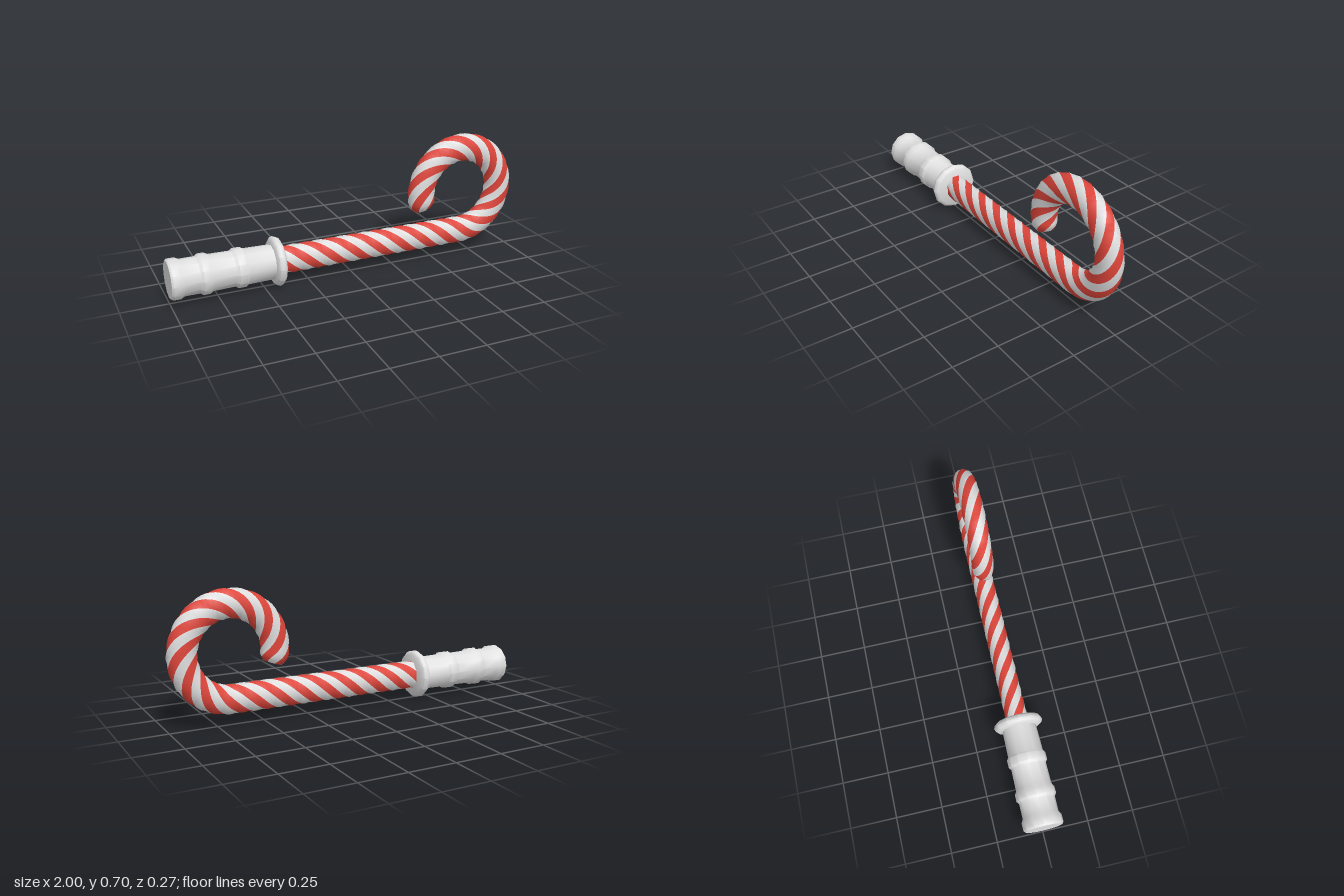
import * as THREE from 'three';
import { toCreasedNormals } from 'three/addons/utils/BufferGeometryUtils.js';

const AXIS_Y = 0.135;

// Revolve a [x, radius] profile around the long axis
function turned(name, profile, material) {
  const lathe = new THREE.LatheGeometry(profile.map(([x, r]) => new THREE.Vector2(r, x)), 12);
  lathe.rotateZ(-Math.PI / 2);
  const mesh = new THREE.Mesh(toCreasedNormals(lathe, 0.75), material);
  mesh.name = name;
  mesh.position.y = AXIS_Y;
  return mesh;
}

// Straight shaft that curls upward into a hook; returns centre and inward normal
const START = -0.42, BEND_X = 0.676, BEND_R = 0.245, BEND_ANGLE = 5.05;
const STRAIGHT = BEND_X - START;
const LENGTH = STRAIGHT + BEND_R * BEND_ANGLE;
function pathAt(s) {
  if (s < STRAIGHT) return { x: START + s, y: AXIS_Y, nx: 0, ny: 1 };
  const a = (s - STRAIGHT) / BEND_R;
  return {
    x: BEND_X + BEND_R * Math.sin(a),
    y: AXIS_Y + BEND_R * (1 - Math.cos(a)),
    nx: -Math.sin(a), ny: Math.cos(a),
  };
}

// Twisted eight-sided tube whose sides alternate between two colours
function twistedCane(red, white) {
  const SIDES = 8, RINGS = 130, PITCH = 0.55, RY = 0.078, RZ = 0.061, TIP = 0.05;
  const positions = [], redFaces = [], whiteFaces = [];
  const addRing = (s, scale) => {
    const p = pathAt(s);
    for (let j = 0; j < SIDES; j++) {
      const phi = ((s - 0.02) / PITCH) * Math.PI * 2 + ((j - 0.5) / SIDES) * Math.PI * 2;
      const n = RY * scale * Math.cos(phi);
      positions.push(p.x + p.nx * n, p.y + p.ny * n, RZ * scale * Math.sin(phi));
    }
  };
  for (let i = 0; i <= RINGS; i++) {
    const s = (i / RINGS) * LENGTH;
    const t = Math.max(0, (s - (LENGTH - TIP)) / TIP);
    addRing(s, 1 - 0.34 * t * t);
  }
  for (let i = 0; i < RINGS; i++) {
    for (let j = 0; j < SIDES; j++) {
      const k = (j + 1) % SIDES;
      const a = i * SIDES + j, b = i * SIDES + k, c = a + SIDES, d = b + SIDES;
      (j % 2 ? whiteFaces : redFaces).push(a, b, c, b, d, c);
    }
  }
  // Flat tip with its own vertices for a sharp edge
  const first = positions.length / 3;
  addRing(LENGTH, 0.66);
  for (let j = 1; j < SIDES - 1; j++) whiteFaces.push(first, first + j, first + j + 1);

  const geometry = new THREE.BufferGeometry();
  geometry.setAttribute('position', new THREE.Float32BufferAttribute(positions, 3));
  geometry.setIndex([...redFaces, ...whiteFaces]);
  geometry.addGroup(0, redFaces.length, 0);
  geometry.addGroup(redFaces.length, whiteFaces.length, 1);
  geometry.computeVertexNormals();
  const mesh = new THREE.Mesh(geometry, [red, white]);
  mesh.name = 'stripedCane';
  return mesh;
}

export function createModel() {
  const white = new THREE.MeshStandardMaterial({ color: 0xe0e0e0 });
  white.name = 'white';
  const red = new THREE.MeshStandardMaterial({ color: 0xe0463b });
  red.name = 'red';

  const group = new THREE.Group();
  group.name = 'hookedCane';

  // Ridged grip
  group.add(turned('grip', [
    [-1, 0], [-1, 0.1], [-0.99, 0.108], [-0.95, 0.108], [-0.93, 0.097],
    [-0.85, 0.097], [-0.835, 0.108], [-0.8, 0.108], [-0.78, 0.097],
    [-0.665, 0.095], [-0.65, 0.106], [-0.61, 0.106], [-0.595, 0.096],
    [-0.44, 0.093],
  ], white));

  // Rounded guard ring
  group.add(turned('guard', [
    [-0.452, 0], [-0.452, 0.112], [-0.442, 0.128], [-0.426, 0.134],
    [-0.41, 0.128], [-0.4, 0.112], [-0.4, 0],
  ], white));

  group.add(twistedCane(red, white));
  return group;
}
